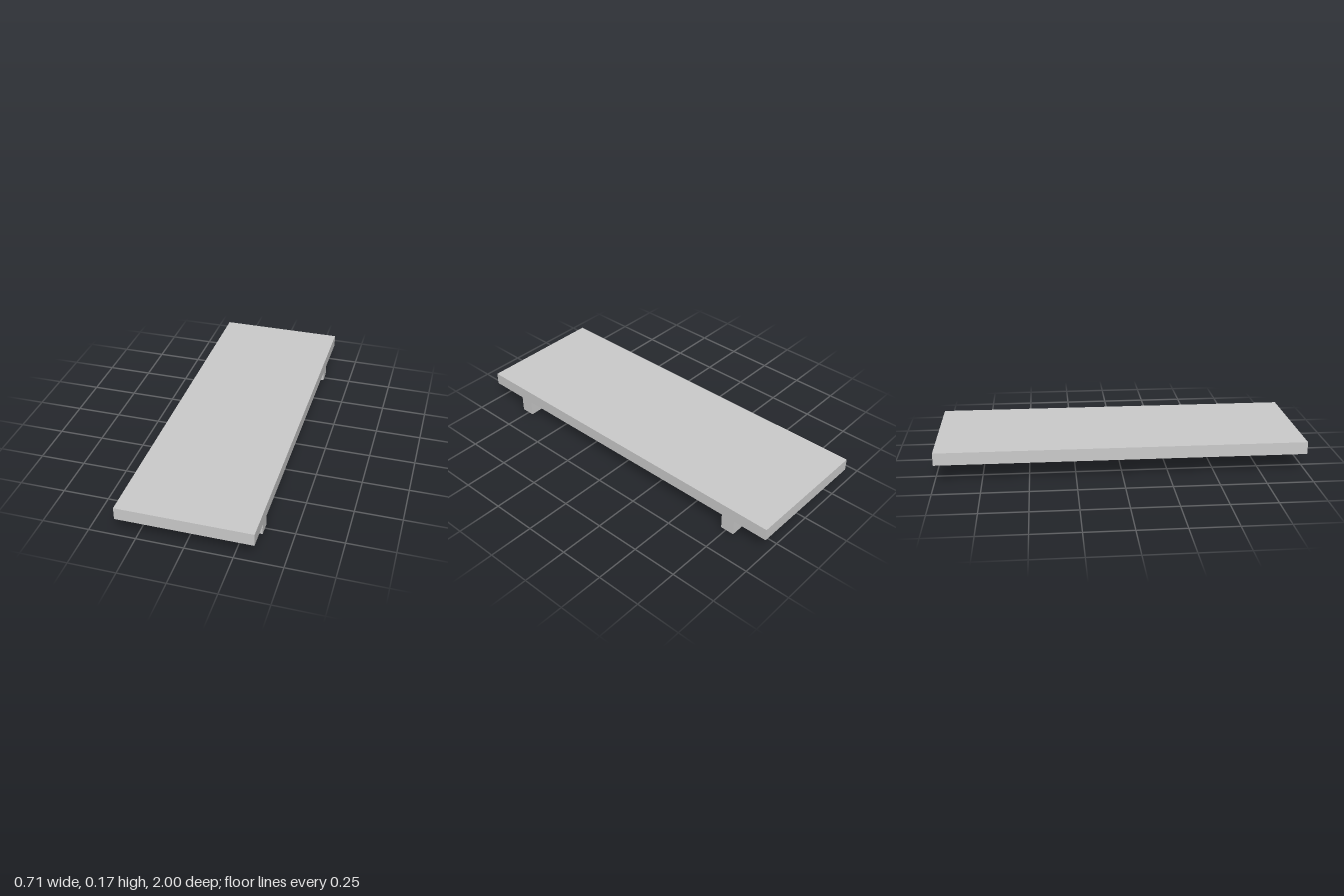
import * as THREE from 'three';
import { toCreasedNormals } from 'three/addons/utils/BufferGeometryUtils.js';

const WIDTH = 0.71, LENGTH = 2, BOTTOM = 0.102, TOP = 0.17;
const BRACKET = { back: 0.343, reach: 0.421, thickness: 0.077, z: 0.758 };

export function createModel() {
  const group = new THREE.Group();
  const material = new THREE.MeshStandardMaterial({ color: 0xcccccc });

  // Flat shelf board
  const board = new THREE.Mesh(new THREE.BoxGeometry(WIDTH, TOP - BOTTOM, LENGTH), material);
  board.name = 'shelfBoard';
  board.position.y = (TOP + BOTTOM) / 2;
  group.add(board);

  // Quarter-ellipse bracket profile, deepest at the wall side (+x)
  const profile = new THREE.Shape();
  profile.moveTo(BRACKET.back, BOTTOM);
  profile.lineTo(BRACKET.back - BRACKET.reach, BOTTOM);
  profile.absellipse(BRACKET.back, BOTTOM, BRACKET.reach, BOTTOM, Math.PI, Math.PI * 1.5, false);
  profile.closePath();

  const bracketGeometry = toCreasedNormals(new THREE.ExtrudeGeometry(profile, {
    depth: BRACKET.thickness, bevelEnabled: false, curveSegments: 8,
  }).translate(0, 0, -BRACKET.thickness / 2), Math.PI / 4);

  // One bracket near each end
  for (const [name, side] of [['frontBracket', 1], ['backBracket', -1]]) {
    const bracket = new THREE.Mesh(bracketGeometry, material);
    bracket.name = name;
    bracket.position.z = side * BRACKET.z;
    group.add(bracket);
  }
  return group;
}
